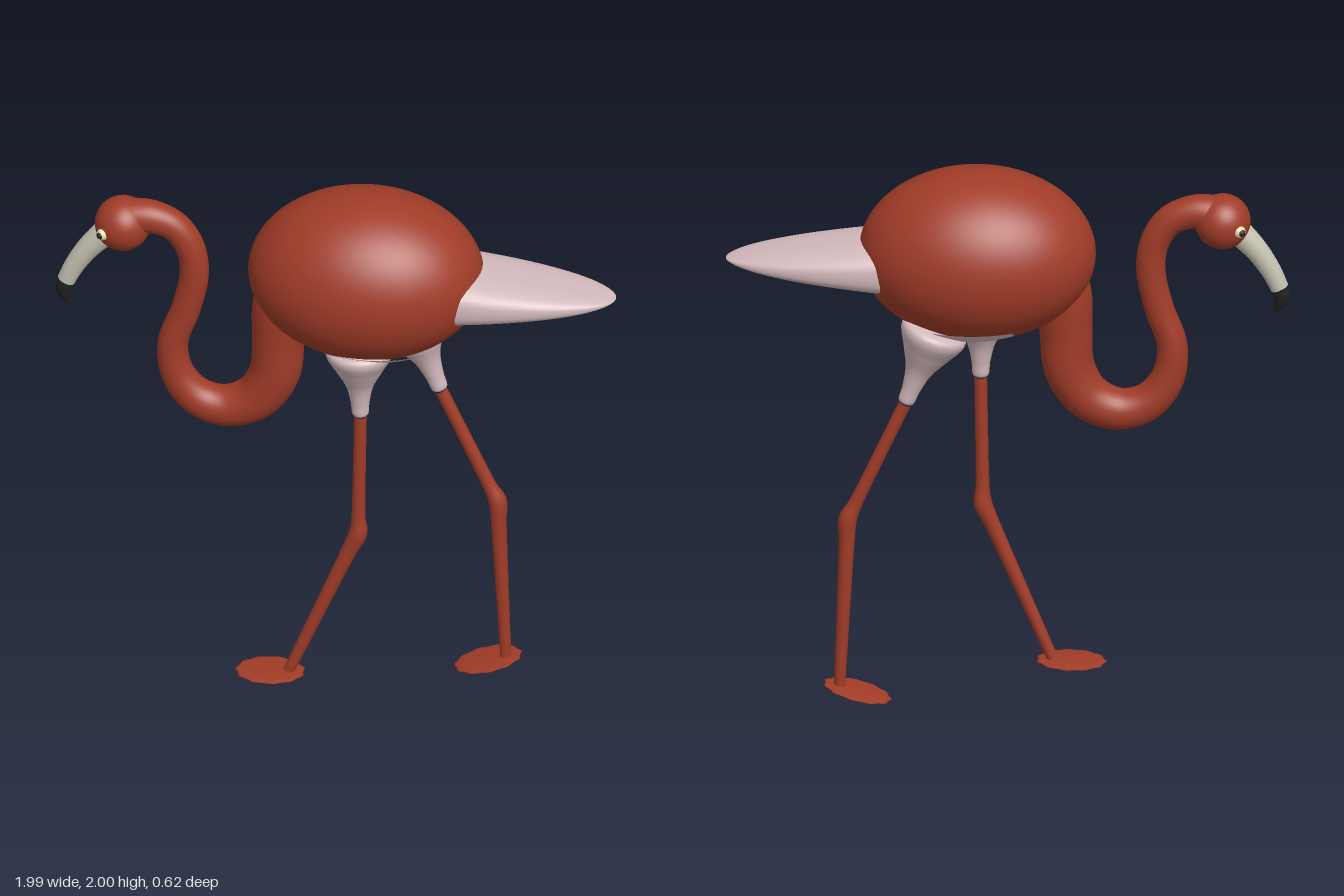
import * as THREE from 'three';
import { mergeVertices } from 'three/addons/utils/BufferGeometryUtils.js';

const mat = (color) => new THREE.MeshStandardMaterial({ color });
const RED = mat(0xa13c28), PINK = mat(0xd2b8bb), HORN = mat(0xc4c2b0),
  BLACK = mat(0x222222), EYE = mat(0xe8dfae);

function add(parent, name, geometry, material, x = 0, y = 0, z = 0) {
  const mesh = new THREE.Mesh(geometry, material);
  mesh.name = name;
  mesh.position.set(x, y, z);
  parent.add(mesh);
  return mesh;
}

// Drops duplicate seam vertices so the shading is smooth all round
function weld(geometry) {
  geometry.deleteAttribute('uv');
  geometry.deleteAttribute('normal');
  const g = mergeVertices(geometry, 1e-5);
  g.computeVertexNormals();
  return g;
}

// Round limb along a curve in the xy plane; each point is [x, y, radius]
function limb(points, segments = 60, sides = 24) {
  const curve = new THREE.CatmullRomCurve3(points.map(([x, y]) => new THREE.Vector3(x, y, 0)));
  const radii = new THREE.CatmullRomCurve3(points.map((p) => new THREE.Vector3(p[2], 0, 0)), false, 'catmullrom');
  const g = new THREE.TubeGeometry(curve, segments, 1, sides);
  const pos = g.attributes.position, v = new THREE.Vector3();
  for (let i = 0; i <= segments; i++) {
    const u = i / segments, centre = curve.getPointAt(u);
    const r = Math.max(0, radii.getPoint(curve.getUtoTmapping(u)).x);
    for (let j = 0; j <= sides; j++) {
      const k = i * (sides + 1) + j;
      v.fromBufferAttribute(pos, k).sub(centre).multiplyScalar(r).add(centre);
      pos.setXYZ(k, v.x, v.y, v.z);
    }
  }
  return weld(g);
}

// Broad tail, domed above and flatter below, tapering to a thin rounded tip
function tailGeometry() {
  const g = new THREE.PlaneGeometry(1, 1, 40, 40);
  const pos = g.attributes.position;
  const soft = (c) => Math.sign(c) * Math.pow(Math.abs(c), 0.75);
  for (let i = 0; i < pos.count; i++) {
    const a = (pos.getX(i) + 0.5) * Math.PI * 2;
    const t = Math.sin((pos.getY(i) + 0.5) * Math.PI / 2);
    const w = 0.176 * Math.sqrt(Math.max(0, 1 - t * t));
    const h = 0.098 * Math.pow(1 - t, 0.8) + 0.006 * (1 - t ** 8);
    const c = soft(Math.cos(a)), s = soft(Math.sin(a));
    const hollow = s < 0 ? 0.15 * h * (1 - c * c) * -s : 0;
    pos.setXYZ(i, 0.4 + 0.592 * t, 1.653 + h * s + hollow, -w * c);
  }
  return weld(g);
}

// Thin webbed foot with a scalloped toe edge, toes towards -x
function footGeometry() {
  const g = new THREE.SphereGeometry(1, 72, 10);
  const pos = g.attributes.position;
  for (let i = 0; i < pos.count; i++) {
    const x = pos.getX(i), z = pos.getZ(i);
    const toe = 0.98 + 0.03 * Math.cos(11 * Math.atan2(z, -x)) * Math.hypot(x, z);
    pos.setXYZ(i, x * 0.124 * toe, pos.getY(i) * 0.009, z * 0.092 * toe);
  }
  return weld(g);
}

function makeLeg(name, z, hip, shin, knee, ankle, foot, tilt) {
  const leg = new THREE.Group();
  leg.name = name;
  leg.position.z = z;
  const mix = (a, b, t, r) => [a[0] + (b[0] - a[0]) * t, a[1] + (b[1] - a[1]) * t, r];
  // Feathered thigh
  const thigh = [[0, 0], [0.04, 0.1], [0.14, 0.119], [0.34, 0.088], [0.58, 0.05], [0.8, 0.034], [0.98, 0.027], [1, 0]];
  add(leg, 'thigh', limb(thigh.map(([t, r]) => mix(hip, shin, t, r)), 60, 32), PINK);
  // Thin leg with a swollen joint
  add(leg, 'shank', limb([
    [...shin, 0.023], mix(shin, knee, 0.5, 0.023), mix(shin, knee, 0.87, 0.025), [...knee, 0.033],
    mix(knee, ankle, 0.13, 0.028), mix(knee, ankle, 0.5, 0.024), [...ankle, 0.02],
  ], 70, 16), RED);
  add(leg, 'foot', footGeometry(), RED, ...foot, 0).rotation.z = tilt;
  return leg;
}

export function createModel() {
  const model = new THREE.Group();
  model.name = 'wadingBird';

  // Egg-like body with a pale patch underneath
  add(model, 'body', new THREE.SphereGeometry(1, 64, 40), RED, 0.105, 1.69).scale.set(0.418, 0.31, 0.312);
  const rim = Math.acos(-0.222 / 0.31);
  add(model, 'belly', new THREE.SphereGeometry(1, 64, 16, 0, Math.PI * 2, rim, Math.PI - rim),
    PINK, 0.13, 1.682).scale.set(0.415, 0.31, 0.314);
  add(model, 'tail', tailGeometry(), PINK);

  // S-shaped neck, thickening towards the body
  add(model, 'neck', limb([
    [-0.74, 1.853, 0.068], [-0.66, 1.86, 0.06], [-0.575, 1.825, 0.054], [-0.52, 1.74, 0.052],
    [-0.507, 1.63, 0.052], [-0.535, 1.49, 0.052], [-0.582, 1.34, 0.054], [-0.563, 1.21, 0.06],
    [-0.49, 1.12, 0.068], [-0.39, 1.094, 0.075], [-0.285, 1.14, 0.083], [-0.22, 1.25, 0.09],
    [-0.207, 1.4, 0.094], [-0.195, 1.53, 0.104], [-0.15, 1.66, 0.11],
  ], 120, 32), RED);

  // Head with a hooked bill
  const head = new THREE.Group();
  head.name = 'head';
  model.add(head);
  add(head, 'skull', new THREE.SphereGeometry(0.099, 40, 28), RED, -0.76, 1.825);
  add(head, 'bill', limb([
    [-0.78, 1.82, 0.05], [-0.836, 1.765, 0.046], [-0.884, 1.71, 0.041],
    [-0.932, 1.635, 0.036], [-0.961, 1.572, 0.0325],
  ], 40), HORN).scale.z = 0.9;
  add(head, 'billTip', limb([
    [-0.961, 1.574, 0.0325], [-0.968, 1.542, 0.03], [-0.962, 1.508, 0.021], [-0.942, 1.473, 0],
  ], 24), BLACK).scale.z = 0.9;
  for (const s of [1, -1]) {
    add(head, 'eye', new THREE.SphereGeometry(0.022, 20, 14), EYE, -0.822, 1.817, s * 0.07);
    add(head, 'pupil', new THREE.SphereGeometry(0.014, 16, 12), BLACK, -0.829, 1.817, s * 0.08);
  }

  // Standing leg and trailing leg
  model.add(makeLeg('leftLeg', 0.11, [0.093, 1.468], [0.098, 1.16], [0.09, 0.67], [-0.156, 0.075], [-0.222, 0.069], 0.02));
  model.add(makeLeg('rightLeg', -0.11, [0.24, 1.462], [0.355, 1.15], [0.557, 0.7], [0.586, 0.055], [0.523, 0.036], 0.25));
  return model;
}
